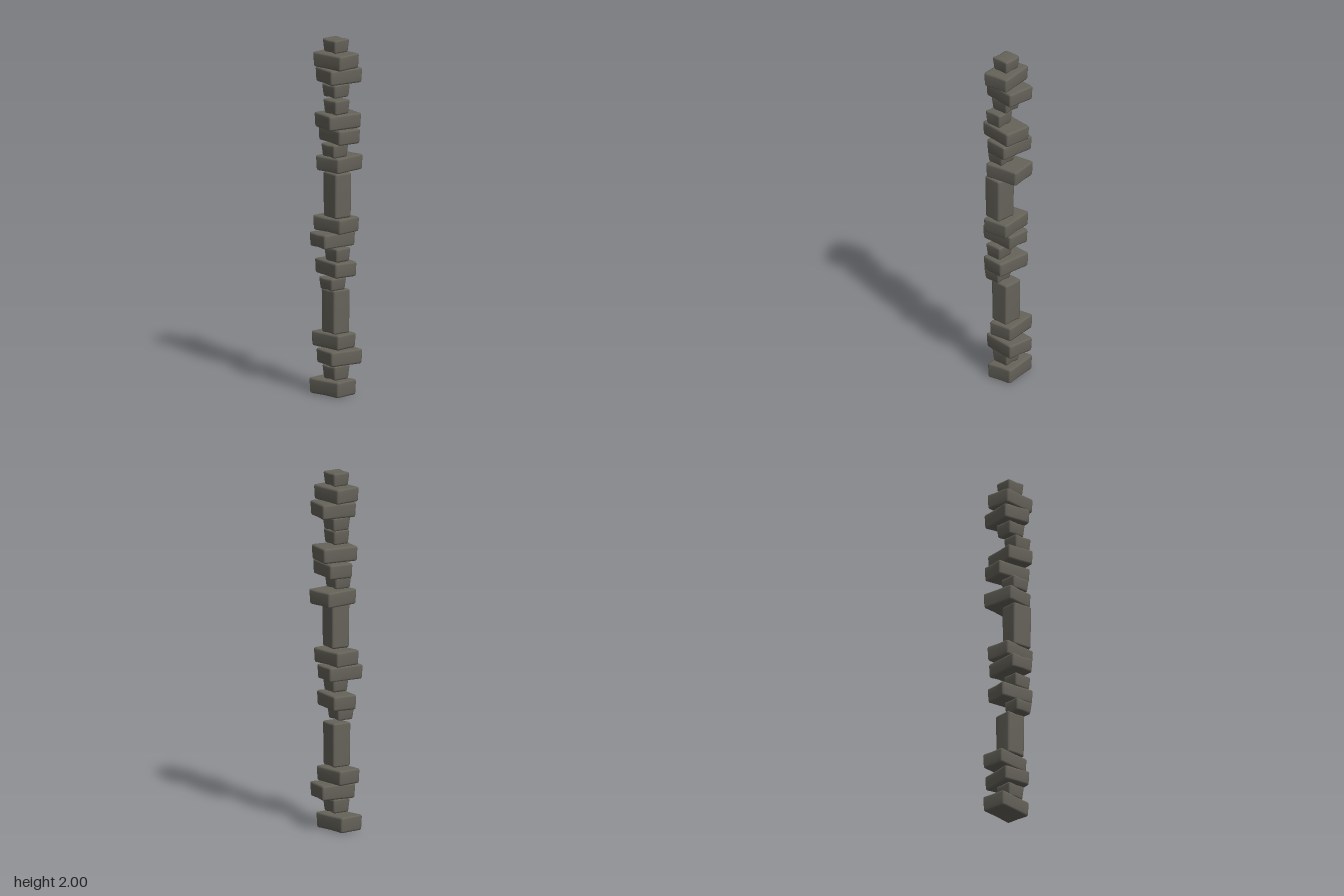
import * as THREE from 'three';
import { mergeVertices } from 'three/addons/utils/BufferGeometryUtils.js';

// Each stone: y bottom, y top, x min, x max, z min, z max, yaw
const STONES = [
  [0.00, 0.09, -0.135, 0.10, -0.085, 0.09, 0.13],
  [0.09, 0.175, -0.045, 0.07, -0.053, 0.06, 0],
  [0.175, 0.26, -0.08, 0.105, -0.13, 0.09, -0.13],
  [0.265, 0.35, -0.13, 0.092, -0.085, 0.075, 0.1],
  [0.35, 0.60, -0.05, 0.072, -0.053, 0.063, -0.03],
  [0.60, 0.675, -0.025, 0.092, -0.01, 0.10, 0],
  [0.675, 0.76, -0.10, 0.123, -0.075, 0.085, -0.1],
  [0.76, 0.84, -0.01, 0.105, -0.03, 0.075, 0],
  [0.835, 0.92, -0.075, 0.077, -0.09, 0.13, -0.05],
  [0.92, 1.007, -0.10, 0.125, -0.083, 0.09, 0.1],
  [1.007, 1.26, -0.02, 0.11, -0.037, 0.08, -0.07],
  [1.257, 1.345, -0.085, 0.108, -0.13, 0.09, 0.13],
  [1.34, 1.42, -0.03, 0.087, -0.03, 0.08, 0],
  [1.415, 1.50, -0.10, 0.123, -0.10, 0.06, -0.1],
  [1.50, 1.585, -0.073, 0.113, -0.115, 0.11, -0.13],
  [1.585, 1.67, -0.012, 0.103, -0.027, 0.08, 0],
  [1.67, 1.75, -0.045, 0.073, -0.053, 0.063, 0],
  [1.75, 1.835, -0.085, 0.104, -0.13, 0.093, -0.13],
  [1.835, 1.92, -0.10, 0.125, -0.083, 0.09, 0.11],
  [1.92, 2.00, -0.045, 0.07, -0.05, 0.058, 0],
];

// Rounded block, tapered downwards, with slightly hollow worn sides
function stoneGeometry(w, h, d, taper, wear, seed) {
  const r = 0.012;
  let g = new THREE.BoxGeometry(2, 2, 2, 4, 4, 4);
  g.deleteAttribute('normal');
  g.deleteAttribute('uv');
  g = mergeVertices(g, 1e-4);
  const half = new THREE.Vector3(w / 2, h / 2, d / 2);
  const inner = half.clone().subScalar(r);
  const low = inner.clone().negate();
  const p = new THREE.Vector3(), core = new THREE.Vector3();
  const pos = g.attributes.position;
  const place = (t, a, b) => Math.abs(t) > 0.9 ? t * a : Math.sign(t) * (Math.abs(t) > 0.2 ? b : 0);
  for (let i = 0; i < pos.count; i++) {
    p.fromBufferAttribute(pos, i);
    p.set(place(p.x, half.x, inner.x), place(p.y, half.y, inner.y), place(p.z, half.z, inner.z));
    core.copy(p).clamp(low, inner);
    p.sub(core).normalize().multiplyScalar(r).add(core);
    const u = p.x / half.x, v = p.y / half.y, t = p.z / half.z;
    const narrow = 1 - taper * (1 - v) / 2;
    // uneven hollows: one side is worn more than its opposite
    const hollowX = wear * (1 - t * t) * (1 + 0.8 * u * Math.sin(seed + 1));
    const hollowZ = wear * (1 - u * u) * (1 + 0.8 * t * Math.cos(seed + 1));
    p.x *= narrow * (1 - hollowX);
    p.z *= narrow * (1 - hollowZ);
    p.y -= 0.003 * v * (1 - u * u) * (1 + Math.sin(seed));
    pos.setXYZ(i, p.x, p.y, p.z);
  }
  g.computeVertexNormals();
  return g;
}

export function createModel() {
  const model = new THREE.Group();
  model.name = 'stonePillar';
  const material = new THREE.MeshStandardMaterial({ color: 0x66635a });
  material.name = 'darkStone';

  STONES.forEach(([y0, y1, x0, x1, z0, z1, yaw], i) => {
    // recover the unturned width and depth from the turned extents
    const s = Math.abs(Math.sin(yaw)), c = Math.cos(yaw), k = c * c - s * s;
    const W = x1 - x0, D = z1 - z0, h = y1 - y0;
    const w = (W * c - D * s) / k + s * 0.03;
    const d = (D * c - W * s) / k + s * 0.03;
    const tall = h > 0.2, small = !tall && W < 0.13;
    const geometry = stoneGeometry(w, h, d, small ? 0.14 : 0.04, small ? 0.06 : 0.03, i * 1.7);
    const stone = new THREE.Mesh(geometry, material);
    stone.name = (tall ? 'tallStone' : small ? 'spacerStone' : 'slabStone') + (i + 1);
    stone.position.set((x0 + x1) / 2, (y0 + y1) / 2, (z0 + z1) / 2);
    stone.rotation.y = yaw;
    model.add(stone);
  });
  return model;
}
